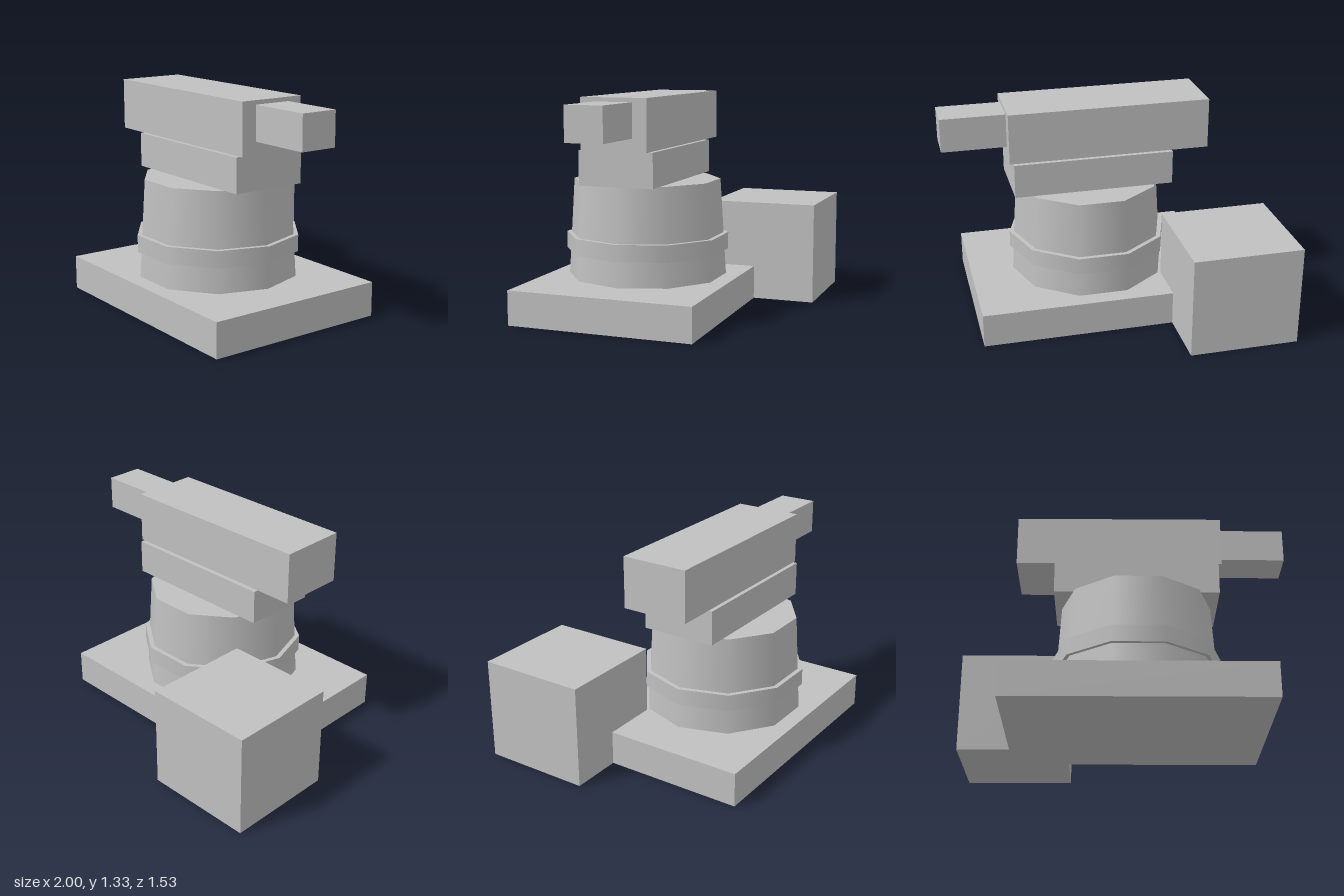
import * as THREE from 'three';

export function createModel() {
  const model = new THREE.Group();
  const grey = new THREE.MeshStandardMaterial({ color: 0xc0c0c0 });
  grey.name = 'plain grey';

  function add(name, geometry, x, y, z) {
    const mesh = new THREE.Mesh(geometry, grey);
    mesh.name = name;
    mesh.position.set(x, y, z);
    model.add(mesh);
  }

  // Box given by its extents on each axis
  function box(name, [x0, x1], [y0, y1], [z0, z1]) {
    add(name, new THREE.BoxGeometry(x1 - x0, y1 - y0, z1 - z0),
      (x0 + x1) / 2, (y0 + y1) / 2, (z0 + z1) / 2);
  }

  // Ten-sided smooth drum section with corners on the x axis
  function drum(name, topRadius, bottomRadius, y0, y1) {
    add(name, new THREE.CylinderGeometry(topRadius, bottomRadius, y1 - y0, 10, 1, false, Math.PI / 2),
      0.09, (y0 + y1) / 2, 0.196);
  }

  // Ground plate and the block at its back corner
  box('basePlate', [-0.68, 0.855], [0, 0.21], [-0.377, 0.766]);
  box('cornerBlock', [-1, -0.326], [0, 0.626], [-0.766, -0.097]);

  // Tapered tower with a raised band
  drum('tower', 0.455, 0.492, 0.21, 0.807);
  drum('towerBand', 0.505, 0.505, 0.367, 0.47);

  // Neck, head and the arm sticking out to the side
  box('neck', [-0.405, 0.583], [0.807, 1.016], [-0.04, 0.428]);
  box('head', [-0.637, 0.605], [1.016, 1.327], [-0.012, 0.403]);
  box('sideArm', [0.605, 1], [1.095, 1.302], [0.078, 0.31]);

  return model;
}
